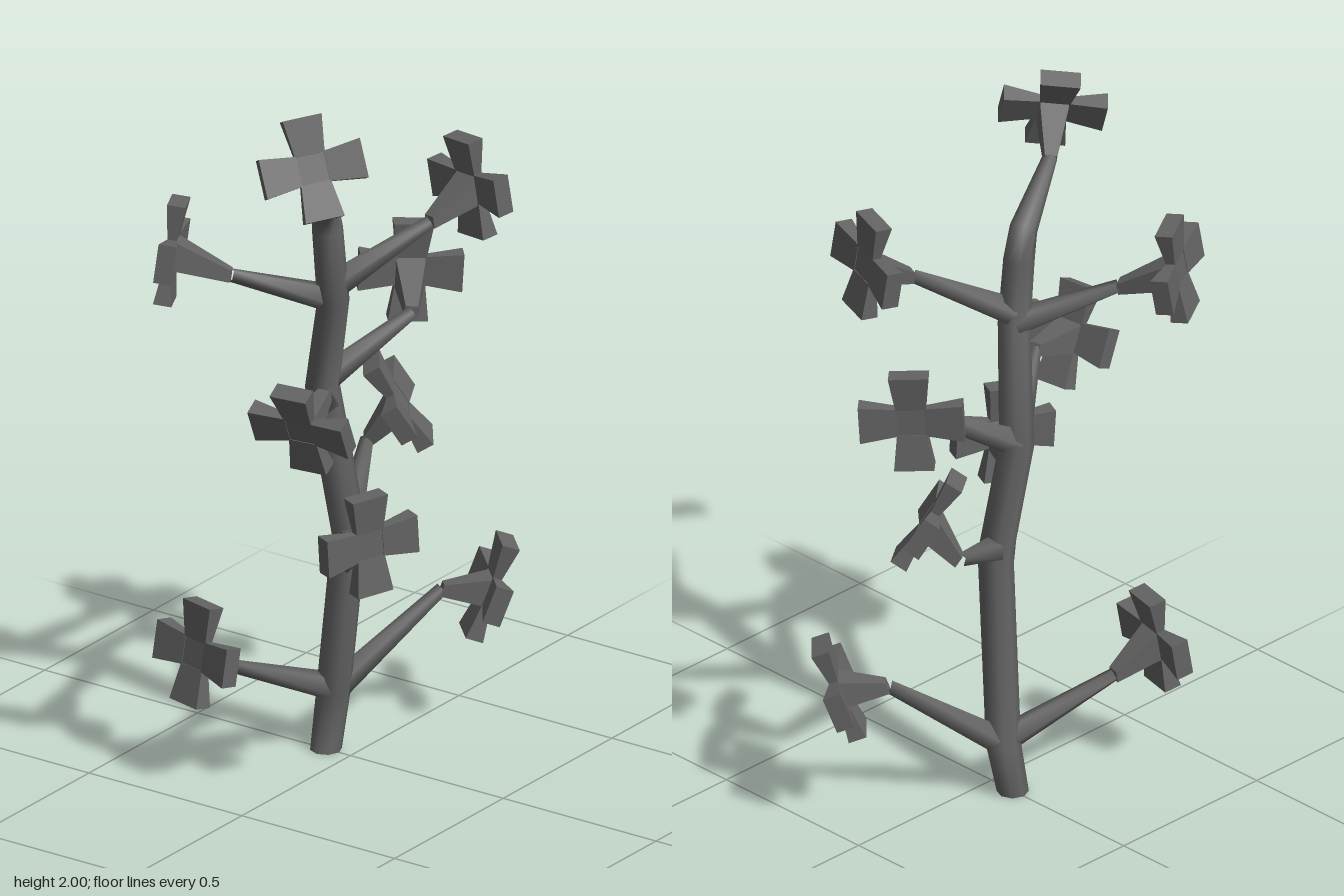
import * as THREE from 'three';

const V = (a) => new THREE.Vector3(...a);
const smooth = new THREE.MeshStandardMaterial({ color: 0x646464 });
const faceted = new THREE.MeshStandardMaterial({ color: 0x646464, flatShading: true });

function part(name, geometry, material) {
  const mesh = new THREE.Mesh(geometry, material);
  mesh.name = name;
  return mesh;
}

// Tapering polygonal limb through a list of points, mitred at each bend
function limb(points, radii, sides) {
  const pos = [], index = [];
  const p = points.map(V);
  const q = new THREE.Quaternion();
  let before = new THREE.Vector3(0, 1, 0);
  p.forEach((c, i) => {
    const a = p[Math.max(i - 1, 0)], b = p[Math.min(i + 1, p.length - 1)];
    // A ring on the ground stays level
    const dir = c.y === 0 ? before.clone() : b.clone().sub(a).normalize();
    q.premultiply(new THREE.Quaternion().setFromUnitVectors(before, dir));
    before = dir;
    for (let s = 0; s < sides; s++) {
      const t = (s / sides) * Math.PI * 2;
      const v = new THREE.Vector3(Math.cos(t), 0, -Math.sin(t)).multiplyScalar(radii[i]);
      v.applyQuaternion(q).add(c);
      pos.push(v.x, v.y, v.z);
      if (i > 0) {
        const n = (s + 1) % sides, lo = (i - 1) * sides, hi = i * sides;
        index.push(lo + s, lo + n, hi + n, lo + s, hi + n, hi + s);
      }
    }
  });
  const g = new THREE.BufferGeometry();
  g.setAttribute('position', new THREE.Float32BufferAttribute(pos, 3));
  g.setIndex(index);
  g.computeVertexNormals();
  return g;
}

// Unit box whose corners are moved by a rule
function shapedBox(rule) {
  const g = new THREE.BoxGeometry(1, 1, 1);
  const a = g.attributes.position, v = new THREE.Vector3();
  for (let i = 0; i < a.count; i++) {
    rule(v.fromBufferAttribute(a, i));
    a.setXYZ(i, v.x, v.y, v.z);
  }
  g.computeVertexNormals();
  return g;
}

// Petal: wider and thicker towards its tip
const petalGeometry = shapedBox((v) => {
  const tip = v.y > 0;
  v.set(v.x * (tip ? 0.108 : 0.082), tip ? 0.14 : 0.038, v.z * (tip ? 0.05 : 0.024));
});

// Four-petalled flower facing `normal`, with a square flared calyx from the knee
function flower(center, normal, knee, roll) {
  const g = new THREE.Group();
  g.name = 'flower';
  g.position.copy(V(center));
  g.lookAt(g.position.clone().add(V(normal)));
  g.rotateZ(roll);
  g.updateMatrixWorld();
  for (let i = 0; i < 4; i++) {
    const petal = part('petal', petalGeometry, faceted);
    petal.rotation.z = (i * Math.PI) / 2;
    g.add(petal);
  }
  const k = g.worldToLocal(V(knee));
  g.add(part('calyx', shapedBox((v) => {
    if (v.z > 0) v.set(v.x * 0.086, v.y * 0.086, 0.01);
    else v.set(v.x * 0.034 + k.x, v.y * 0.034 + k.y, k.z);
  }), faceted));
  return g;
}

export function createModel() {
  const model = new THREE.Group();
  model.name = 'floweringBranch';

  // Zigzag stem ending in the top flower's stalk
  model.add(part('stem', limb(
    [[0, 0, -0.08], [0.035, 0.16, -0.08], [-0.04, 0.67, 0.025], [-0.01, 1.06, -0.085],
      [-0.1, 1.36, 0.015], [-0.098, 1.56, -0.005], [-0.13, 1.635, 0.01], [-0.3, 1.76, 0.08]],
    [0.043, 0.047, 0.048, 0.047, 0.044, 0.042, 0.038, 0.02], 8), smooth));
  const base = part('stemBase', new THREE.CircleGeometry(0.043, 8), smooth);
  base.rotation.x = Math.PI / 2;
  base.position.z = -0.08;
  model.add(base);
  model.add(flower([-0.365, 1.862, 0.135], [-0.63, 0.45, 0.63], [-0.295, 1.755, 0.075], 0.15));

  // Side twigs: start on stem, knee, flower centre, facing direction, roll
  const twigs = [
    [[0.03, 0.16, -0.08], [0.32, 0.39, 0.07], [0.415, 0.385, 0.16], [0.65, -0.35, 0.65], 0],
    [[0.03, 0.17, -0.08], [-0.26, 0.3, -0.2], [-0.385, 0.375, -0.23], [-0.95, 0.17, -0.22], 0],
    [[-0.03, 0.58, 0.01], [-0.26, 0.77, 0.17], [-0.345, 0.81, 0.305], [-0.4, 0, 0.9], 0.06],
    [[-0.04, 0.69, 0.02], [0.23, 0.81, -0.11], [0.275, 0.925, -0.04], [0.45, 0.5, 0.7], 0.14],
    [[-0.01, 1.01, -0.075], [-0.27, 1.17, 0.11], [-0.435, 1.135, 0.15], [-0.88, -0.42, 0.12], 0],
    [[-0.01, 1.07, -0.085], [0.24, 1.21, 0.03], [0.36, 1.27, -0.06], [0.75, 0, -0.66], 0.06],
    [[-0.09, 1.4, 0.01], [0.14, 1.54, 0.16], [0.27, 1.61, 0.2], [0.96, 0.1, 0.25], -0.1],
    [[-0.09, 1.36, 0.01], [-0.31, 1.46, -0.17], [-0.4, 1.53, -0.3], [-0.45, 0.12, -0.88], 0.12],
  ];
  for (const [start, knee, center, normal, roll] of twigs) {
    model.add(part('twig', limb([start, knee], [0.04, 0.019], 5), smooth));
    model.add(flower(center, normal, knee, roll));
  }
  return model;
}
